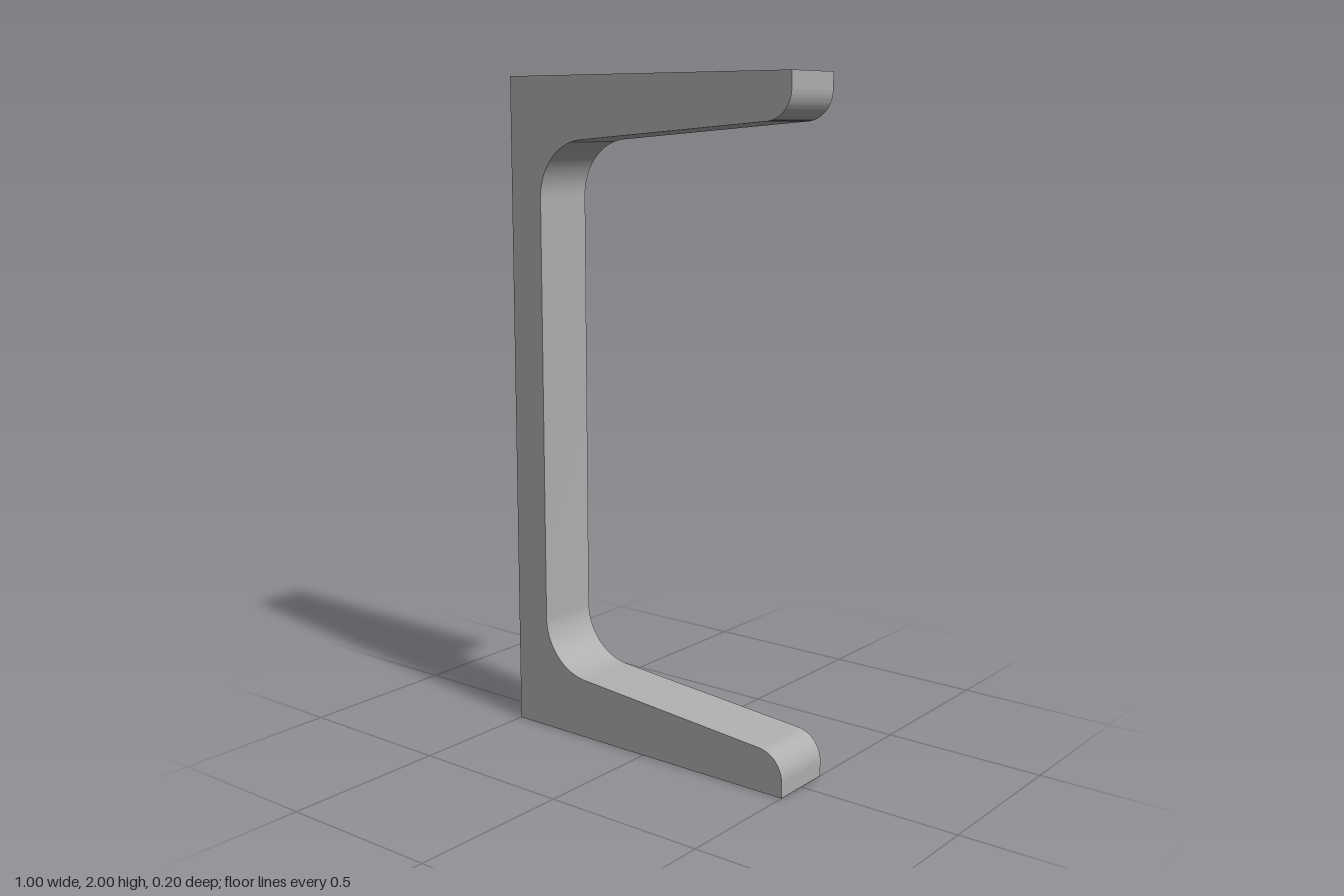
import * as THREE from 'three';
import { toCreasedNormals } from 'three/addons/utils/BufferGeometryUtils.js';

// Slice of a tapered-flange channel section
export function createModel() {
  const group = new THREE.Group();
  group.name = 'channelSection';
  const steel = new THREE.MeshStandardMaterial({ color: 0xaeaeae });
  steel.name = 'steel grey';

  const halfWidth = 0.5, height = 2, depth = 0.2;
  const webFace = -0.385;                 // inner face of the web
  const rootR = 0.17, toeR = 0.085;       // root fillet and toe rounding
  const tilt = Math.atan(0.08);           // flange taper
  const q = Math.PI / 2;
  const rootX = webFace + rootR, rootY = 0.353;
  const toeX = halfWidth - toeR, toeY = 0.0465;

  // Outline, counter-clockwise; straight runs join the arcs
  const s = new THREE.Shape();
  s.moveTo(-halfWidth, 0);
  s.lineTo(halfWidth, 0);
  s.absarc(toeX, toeY, toeR, 0, q - tilt, false);
  s.absarc(rootX, rootY, rootR, 3 * q - tilt, 2 * q, true);
  s.absarc(rootX, height - rootY, rootR, 2 * q, q + tilt, true);
  s.absarc(toeX, height - toeY, toeR, tilt - q, 0, false);
  s.lineTo(halfWidth, height);
  s.lineTo(-halfWidth, height);
  s.closePath();

  const extruded = new THREE.ExtrudeGeometry(s, { depth, bevelEnabled: false, curveSegments: 24 });
  extruded.translate(0, 0, -depth / 2);
  const channel = new THREE.Mesh(toCreasedNormals(extruded, Math.PI / 6), steel);
  channel.name = 'channelProfile';
  group.add(channel);
  return group;
}
